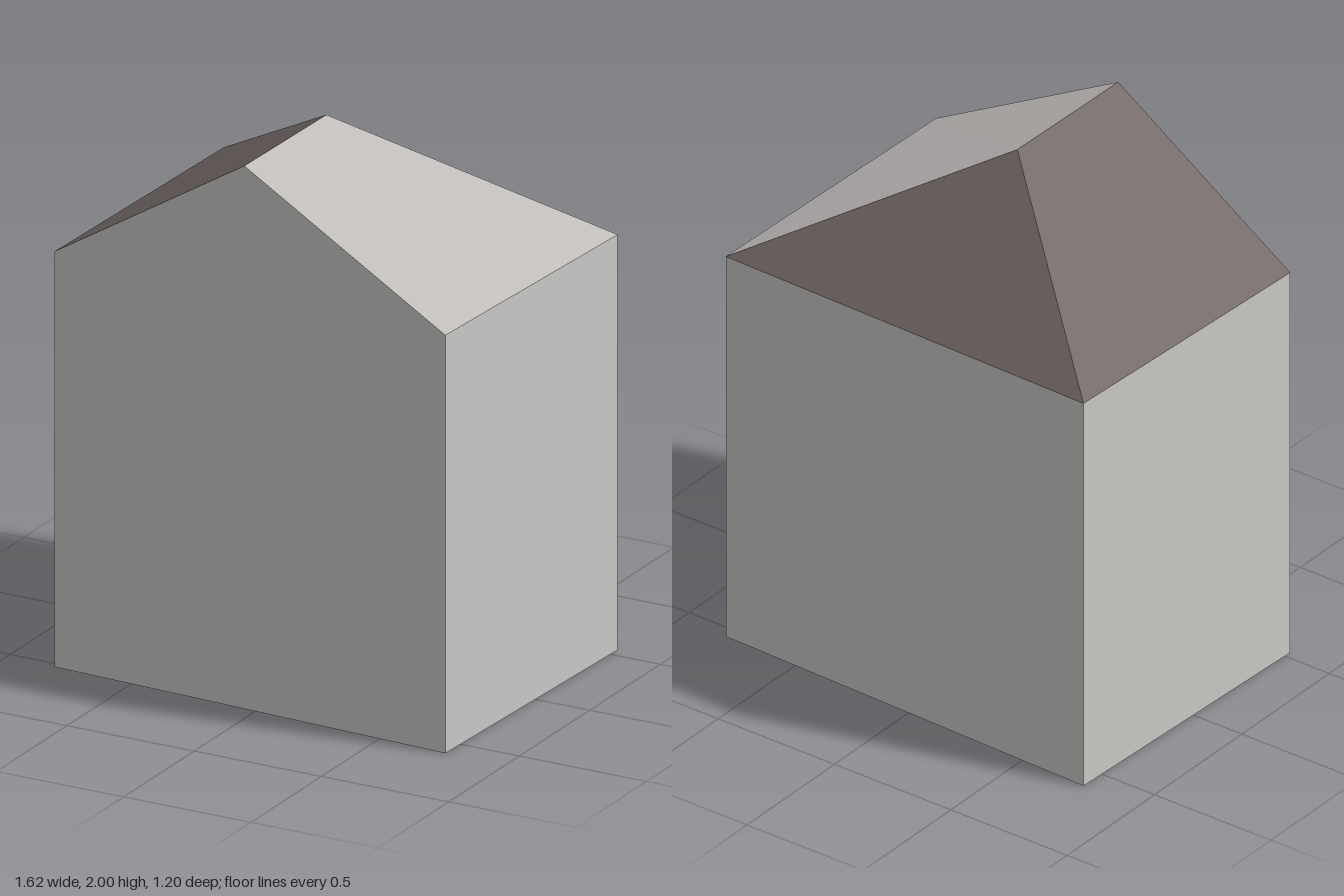
import * as THREE from 'three';

// Flat polygons, each listed counter-clockwise from outside, joined as fans
function polygonMesh(name, material, polygons) {
  const positions = [];
  for (const p of polygons) {
    for (let i = 1; i < p.length - 1; i++) positions.push(...p[0], ...p[i], ...p[i + 1]);
  }
  const geometry = new THREE.BufferGeometry();
  geometry.setAttribute('position', new THREE.Float32BufferAttribute(positions, 3));
  geometry.computeVertexNormals();
  const mesh = new THREE.Mesh(geometry, material);
  mesh.name = name;
  return mesh;
}

function flatMaterial(name, color) {
  const material = new THREE.MeshStandardMaterial({ color });
  material.name = name;
  return material;
}

export function createModel() {
  const wallGrey = flatMaterial('wall grey', 0xc8c8c5);
  const paleRoof = flatMaterial('pale warm grey roof', 0xbebab8);
  const brownRoof = flatMaterial('dark brown roof', 0x6c6160);

  // Eave corners: front right, front left, back left, back right
  const eaves = [
    [-0.81, 1.53, 0.53],
    [0.765, 1.54, 0.6],
    [0.805, 1.53, -0.55],
    [-0.77, 1.54, -0.6],
  ];
  const base = eaves.map(([x, , z]) => [x, 0, z]);
  const [frontRight, frontLeft, backLeft, backRight] = eaves;

  // Ridge from the front gable to the top of the hip
  const gableTop = [-0.045, 2, 0.564];
  const hipTop = [-0.035, 2, 0];

  // Four walls, the front one rising into the gable
  const walls = eaves.map((corner, i) => {
    const j = (i + 1) % 4;
    const wall = [base[i], base[j], eaves[j]];
    if (i === 0) wall.push(gableTop);
    return [...wall, corner];
  });

  const house = new THREE.Group();
  house.name = 'house';
  house.add(
    polygonMesh('walls', wallGrey, walls),
    polygonMesh('floor', wallGrey, [[...base].reverse()]),
    polygonMesh('leftRoofSlope', paleRoof, [[frontLeft, backLeft, hipTop, gableTop]]),
    polygonMesh('rightRoofSlope', brownRoof, [[backRight, frontRight, gableTop, hipTop]]),
    polygonMesh('backRoofHip', brownRoof, [[backLeft, backRight, hipTop]]),
  );
  return house;
}
